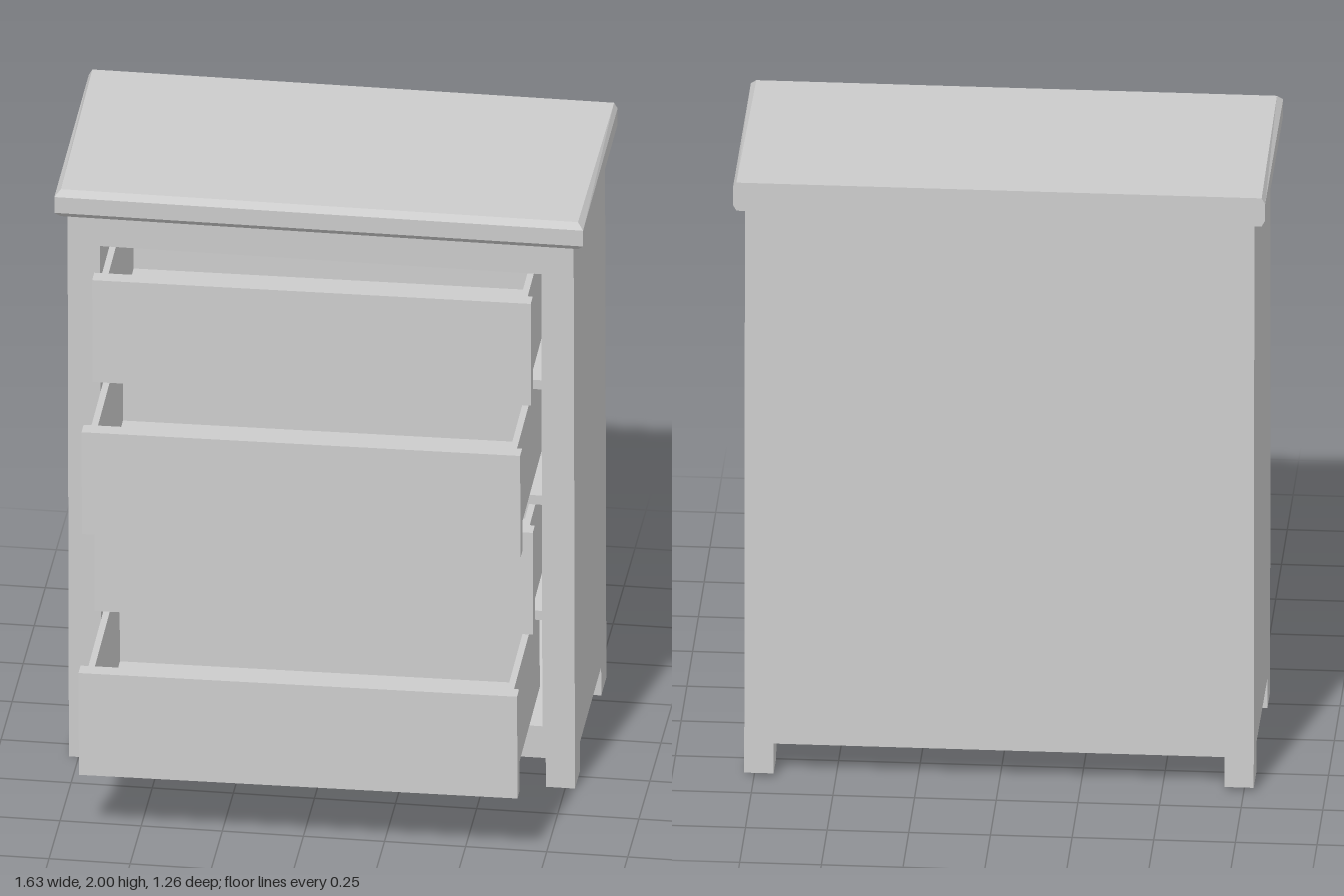
import * as THREE from 'three';

const material = new THREE.MeshStandardMaterial({ color: 0xcccccc, flatShading: true });

function add(parent, name, geometry) {
  const mesh = new THREE.Mesh(geometry, material);
  mesh.name = name;
  parent.add(mesh);
  return mesh;
}

// Box given by its minimum and maximum corners
function box(parent, name, [x0, y0, z0], [x1, y1, z1]) {
  const mesh = add(parent, name, new THREE.BoxGeometry(x1 - x0, y1 - y0, z1 - z0));
  mesh.position.set((x0 + x1) / 2, (y0 + y1) / 2, (z0 + z1) / 2);
  return mesh;
}

function rect(target, x0, y0, x1, y1) {
  target.moveTo(x0, y0).lineTo(x1, y0).lineTo(x1, y1).lineTo(x0, y1).closePath();
  return target;
}

// Slab bevelled above and below along the front and the sides; the back is plain
function topSlab(halfWidth, back, front, levels, insets) {
  const geometry = new THREE.BoxGeometry(2, 3, 1, 1, 3, 1);
  const p = geometry.attributes.position;
  for (let i = 0; i < p.count; i++) {
    const level = Math.round(p.getY(i) + 1.5);
    const inset = insets[level];
    const atFront = p.getZ(i) > 0;
    p.setXYZ(i,
      Math.sign(p.getX(i)) * (halfWidth - inset * (atFront ? 1 : 0.6)),
      levels[level],
      atFront ? front - inset : back);
  }
  geometry.computeVertexNormals();
  return geometry;
}

function createDrawer() {
  const drawer = new THREE.Group();
  const w = 0.655, t = 0.02, h0 = -0.157, h1 = 0.157, front = -0.05, back = -0.71;
  box(drawer, 'drawerFront', [-0.675, -0.175, front], [0.675, 0.175, 0]);
  box(drawer, 'drawerBottom', [-w, h0, back], [w, h0 + t, front]);
  box(drawer, 'drawerInnerFront', [-w + t, h0 + t, front - t], [w - t, h1, front]);
  box(drawer, 'drawerBack', [-w + t, h0 + t, back], [w - t, h1, back + t]);
  for (const s of [-1, 1]) {
    const a = s * w, b = s * (w - t);
    box(drawer, 'drawerSide', [Math.min(a, b), h0 + t, back], [Math.max(a, b), h1, front]);
  }
  return drawer;
}

export function createModel() {
  const model = new THREE.Group();
  model.name = 'chestOfDrawers';

  // Cabinet leans very slightly forward
  const cabinet = new THREE.Group();
  cabinet.name = 'cabinet';
  cabinet.rotation.x = 0.016;
  model.add(cabinet);

  const W = 0.78, zBack = -0.63, zFront = 0.08, yBase = 0.1, panel = 0.02;

  // Frame with four drawer openings running to the back panel
  const shape = rect(new THREE.Shape(), -W, yBase, W, 1.9);
  for (let i = 0; i < 4; i++) {
    const y = 0.21 + i * 0.402;
    shape.holes.push(rect(new THREE.Path(), -0.68, y, 0.68, y + 0.37));
  }
  const frame = add(cabinet, 'frame', new THREE.ExtrudeGeometry(shape,
    { depth: zFront - zBack - panel, bevelEnabled: false }));
  frame.position.z = zBack + panel;
  box(cabinet, 'backPanel', [-W, yBase, zBack], [W, 1.9, zBack + panel]);

  // Feet at the four corners
  for (const s of [-1, 1]) {
    const x0 = s < 0 ? -W : 0.69, x1 = x0 + 0.09;
    box(cabinet, 'frontFoot', [x0, 0, zFront - 0.115], [x1, yBase, zFront]);
    box(cabinet, 'backFoot', [x0, 0, zBack], [x1, yBase, zBack + 0.115]);
  }

  add(cabinet, 'top', topSlab(0.815, -0.66, 0.122,
    [1.895, 1.915, 1.97, 1.989], [0.018, 0, 0, 0.018]));

  // Drawers pulled out by different amounts, each sitting a little askew: [height, front z]
  const places = [[0.41, 0.622], [0.79, 0.267], [1.206, 0.553], [1.605, 0.312]];
  places.forEach(([y, z], i) => {
    const drawer = createDrawer();
    drawer.name = 'drawer' + (i + 1);
    drawer.position.set(0, y, z);
    drawer.rotation.set(-0.009, 0.011, 0.005);
    model.add(drawer);
  });

  return model;
}
